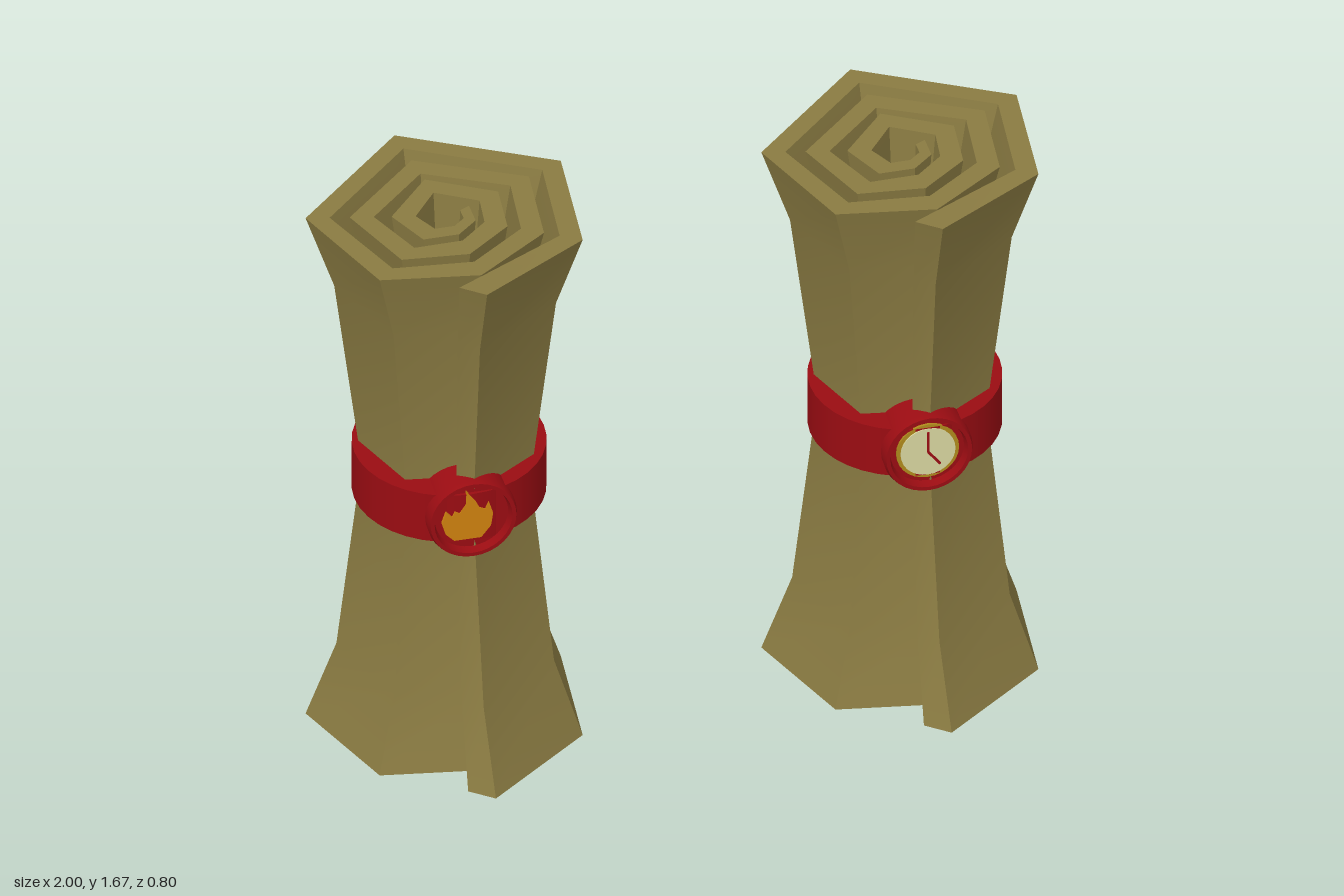
import * as THREE from 'three';
import { toCreasedNormals } from 'three/addons/utils/BufferGeometryUtils.js';

const mat = (color) => new THREE.MeshStandardMaterial({ color, roughness: 0.9 });
const paper = mat(0x8a7b42), red = mat(0x9a0c12), orange = mat(0xd0820f);
const cream = mat(0xd9d7a0), gold = mat(0xb08a1c);

const MID = 0.837; // height of the band
const FACE = 0.253; // recessed front face of the seal

function add(parent, name, geometry, material, x = 0, y = 0, z = 0) {
  const mesh = new THREE.Mesh(geometry, material);
  mesh.name = name;
  mesh.position.set(x, y, z);
  parent.add(mesh);
  return mesh;
}

// Rolled sheet: a thick six-cornered spiral, pinched at the waist
function rolledSheet() {
  const angles = [86, 31, -26, -98, -168, -224].map(THREE.MathUtils.degToRad);
  const radii = [0.413, 0.377, 0.392, 0.396, 0.387, 0.351,
    0.287, 0.268, 0.28, 0.272, 0.268, 0.24,
    0.185, 0.165, 0.172, 0.178, 0.155, 0.13, 0.09, 0.075, 0.07];
  const outer = [], inner = [];
  radii.forEach((r, i) => {
    const a = angles[i % 6];
    const thick = Math.min(0.065, r * 0.45);
    outer.push([Math.cos(a) * r, Math.sin(a) * r]);
    inner.push([Math.cos(a) * (r - thick), Math.sin(a) * (r - thick)]);
  });
  inner[0] = [-0.036, 0.362]; // slanted end of the loose flap
  const n = radii.length;
  const ring = [...outer, ...inner.slice().reverse()];
  const count = ring.length;

  // height, scale
  const levels = [[0.007, 1], [0.24, 0.785], [MID, 0.61], [1.43, 0.8], [1.657, 1]];
  const point = (k, j) => {
    const [y, s] = levels[k], [x, z] = ring[j];
    const t = k / 4, flap = j === 0 || j === count - 1;
    const lift = !flap ? 0 : k === 0 ? -0.007 : k === 4 ? 0.012 : 0;
    return [x * s - (flap ? 0.02 * t : 0), y + lift, z * s - (flap ? 0.018 * t : 0)];
  };

  const pos = [];
  const quad = (a, b, c, d) => pos.push(...a, ...b, ...c, ...a, ...c, ...d);
  for (let k = 0; k < 4; k++) {
    for (let j = 0; j < count; j++) {
      const m = (j + 1) % count;
      quad(point(k, j), point(k, m), point(k + 1, m), point(k + 1, j));
    }
  }
  // end faces between the outer and inner spiral
  for (let i = 0; i < n - 1; i++) {
    const o0 = i, o1 = i + 1, i0 = count - 1 - i, i1 = count - 2 - i;
    quad(point(4, o0), point(4, o1), point(4, i1), point(4, i0));
    quad(point(0, i0), point(0, i1), point(0, o1), point(0, o0));
  }
  const g = new THREE.BufferGeometry();
  g.setAttribute('position', new THREE.Float32BufferAttribute(pos, 3));
  return toCreasedNormals(g, 0.45);
}

// Round seal with a raised rim, facing +z
function sealBody() {
  const profile = [[0, 0.12], [0.122, 0.12], [0.124, 0.262], [0.119, 0.277], [0.108, 0.277],
    [0.102, FACE], [0, FACE]].map(([r, z]) => new THREE.Vector2(r, z));
  const g = new THREE.LatheGeometry(profile, 32);
  g.rotateX(Math.PI / 2);
  return toCreasedNormals(g, 0.5);
}

function flame() {
  const pts = [[-0.04, -0.07], [0.035, -0.07], [0.062, -0.035], [0.068, 0.005], [0.056, 0.045],
    [0.046, 0.022], [0.03, 0.03], [0.018, 0.055], [-0.006, 0.086], [-0.008, 0.045],
    [-0.025, 0.018], [-0.038, 0.026], [-0.045, 0.008], [-0.062, 0.026], [-0.074, -0.01], [-0.064, -0.045]];
  const shape = new THREE.Shape(pts.map(([x, y]) => new THREE.Vector2(x, y)));
  return new THREE.ExtrudeGeometry(shape, { depth: 0.01, bevelEnabled: false });
}

function clock() {
  const g = new THREE.Group();
  g.name = 'clockEmblem';
  const disc = (name, r, depth, material) => {
    const geo = new THREE.CylinderGeometry(r, r, depth, 28);
    geo.rotateX(Math.PI / 2);
    add(g, name, geo, material, 0, 0, depth / 2);
  };
  disc('clockRim', 0.087, 0.007, gold);
  disc('clockFace', 0.076, 0.011, cream);
  const hand = (name, length, angle) => {
    const geo = new THREE.BoxGeometry(0.007, length, 0.004);
    geo.translate(0, length / 2, 0);
    add(g, name, geo, red, 0, 0, 0.012).rotation.z = angle;
  };
  hand('minuteHand', 0.065, 0);
  hand('hourHand', 0.055, -2.5);
  return g;
}

function scroll(name, x) {
  const g = new THREE.Group();
  g.name = name;
  g.position.set(x, 0, -0.007);
  add(g, 'rolledSheet', rolledSheet(), paper);
  add(g, 'band', new THREE.CylinderGeometry(0.263, 0.263, 0.154, 36), red, 0, MID, 0);
  add(g, 'seal', sealBody(), red, 0, MID, 0);
  return g;
}

export function createModel() {
  const model = new THREE.Group();
  model.name = 'scrollPair';

  const flameScroll = scroll('flameScroll', -0.622);
  add(flameScroll, 'flameEmblem', flame(), orange, -0.01, MID, FACE);

  const clockScroll = scroll('clockScroll', 0.643);
  const emblem = clock();
  emblem.position.set(0, MID, FACE);
  clockScroll.add(emblem);

  model.add(flameScroll, clockScroll);
  return model;
}
